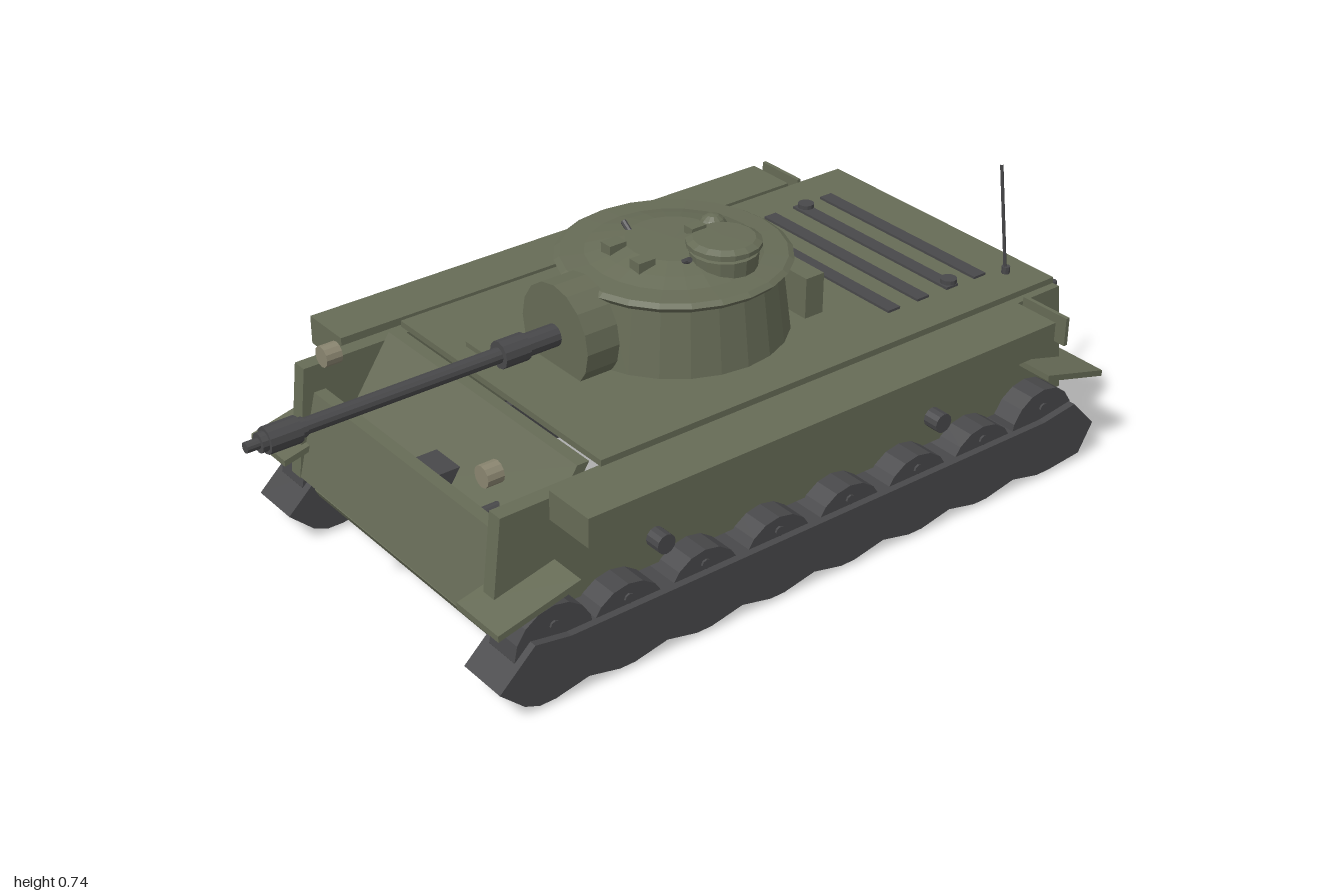
import * as THREE from 'three';

const mat = (color) => new THREE.MeshStandardMaterial({ color, flatShading: true });

export function createModel() {
  const tank = new THREE.Group();
  tank.name = 'tank';
  const olive = mat(0x666b56), dark = mat(0x48484a), lamp = mat(0x8a8570);

  const add = (name, geo, m, x = 0, y = 0, z = 0, parent = tank) => {
    const mesh = new THREE.Mesh(geo, m);
    mesh.name = name;
    mesh.position.set(x, y, z);
    parent.add(mesh);
    return mesh;
  };
  // box given by its limits on each axis
  const block = (name, m, x0, x1, y0, y1, z0, z1, parent = tank) =>
    add(name, new THREE.BoxGeometry(x1 - x0, y1 - y0, z1 - z0), m,
      (x0 + x1) / 2, (y0 + y1) / 2, (z0 + z1) / 2, parent);
  // side outline in (z, y) extruded from x0 to x1
  const profile = (name, m, pts, x0, x1) => {
    const shape = new THREE.Shape(pts.map(([z, y]) => new THREE.Vector2(z, y)));
    const geo = new THREE.ExtrudeGeometry(shape, { depth: x1 - x0, bevelEnabled: false });
    geo.rotateY(-Math.PI / 2);
    return add(name, geo, m, x1);
  };
  // cylinder along an axis
  const rod = (name, m, axis, r, len, x, y, z, seg = 12, r2 = r) => {
    const geo = new THREE.CylinderGeometry(r2, r, len, seg);
    if (axis === 'x') geo.rotateZ(-Math.PI / 2);
    if (axis === 'z') geo.rotateX(Math.PI / 2);
    return add(name, geo, m, x, y, z);
  };

  // Hull shell, open underneath
  block('deck', olive, -0.375, 0.375, 0.445, 0.46, -0.92, 0.395);
  profile('glacis', olive, [[0.41, 0.455], [0.62, 0.11], [0.65, 0.105], [0.66, 0.125], [0.44, 0.455]], -0.355, 0.355);
  profile('frontPlate', olive, [[0.61, 0.37], [0.655, 0.168], [0.69, 0.168], [0.64, 0.37]], -0.355, 0.355);
  profile('rearPlate', olive, [[-0.9, 0.45], [-0.92, 0.45], [-0.957, 0.165], [-0.935, 0.165]], -0.375, 0.375);
  block('visor', dark, -0.045, 0.045, 0.25, 0.33, 0.52, 0.6);
  block('gunMount', dark, 0.2, 0.27, 0.25, 0.31, 0.54, 0.6);
  rod('hullGun', dark, 'z', 0.012, 0.1, 0.195, 0.31, 0.55);

  // Engine grilles, caps and hatch on the deck
  for (const z of [-0.785, -0.697, -0.605, -0.515])
    block('grille', dark, -0.27, 0.27, 0.458, 0.466, z - 0.018, z + 0.018);
  block('deckHatch', olive, -0.188, -0.122, 0.458, 0.472, 0.275, 0.345);

  const trackOutline = () => {
    const pts = [[-0.95, 0.02]];
    // scalloped ground run
    for (let i = 0; i < 8; i++) {
      const z = -0.85 + i * 0.206;
      pts.push([z, 0.01], [z + 0.04, 0.01]);
      if (i < 7) pts.push([z + 0.12, 0.028]);
    }
    pts.push([0.67, 0.025], [0.73, 0.08], [0.64, 0.165], [0.55, 0.15], [-0.82, 0.15], [-0.92, 0.165], [-0.99, 0.09]);
    return pts;
  };

  for (const s of [-1, 1]) {
    // limits mirrored to side s
    const span = (a, b) => (s > 0 ? [a, b] : [-b, -a]);
    profile('hullSide', olive, [[0.66, 0.435], [-0.92, 0.445], [-0.955, 0.165], [0.69, 0.165]].reverse(), ...span(0.357, 0.395));
    block('sponson', olive, ...span(0.395, 0.527), 0.385, 0.455, -0.77, 0.54);
    block('sponsonBracket', olive, ...span(0.395, 0.53), 0.385, 0.455, -0.812, -0.802);
    block('sideBox', olive, ...span(0.39, 0.428), 0.355, 0.405, -0.565, -0.45);
    block('sideBar', dark, ...span(0.39, 0.402), 0.3, 0.314, -0.075, 0.115);
    for (const z of [0.27, -0.53]) rod('returnRoller', dark, 'x', 0.024, 0.06, s * 0.405, 0.235, z);
    // Sloped mudguards
    profile('frontMudguard', olive, [[0.735, 0.22], [0.735, 0.235], [0.53, 0.285], [0.53, 0.27]], ...span(0.34, 0.487));
    profile('rearMudguard', olive, [[-0.81, 0.27], [-0.81, 0.285], [-0.995, 0.235], [-0.995, 0.22]], ...span(0.34, 0.487));
    // Track and wheels
    profile('track', dark, trackOutline(), ...span(0.35, 0.478));
    [0.58, 0.39, 0.185, -0.02, -0.225, -0.43, -0.635, -0.83].forEach((z, i) => {
      const end = i === 0 || i === 7;
      rod('roadWheel', dark, 'x', 0.1, 0.09, s * 0.415, end ? 0.128 : 0.1, z, 16);
      rod('wheelHub', dark, 'x', 0.012, 0.1, s * 0.415, end ? 0.18 : 0.165, z, 8);
    });
    // Paired fittings
    rod('headlight', lamp, 'z', 0.025, 0.04, s * 0.307, 0.482, 0.622, 12);
    rod('deckCap', dark, 'y', 0.02, 0.02, s * 0.25, 0.466, -0.703);
    rod('exhaust', dark, 'x', 0.025, 0.165, s * 0.203, 0.335, -0.972);
    rod('exhaustPipe', dark, 'y', 0.01, 0.1, s * 0.335, 0.37, -0.965, 8);
    block('roofBlock', olive, s * 0.052 - 0.017, s * 0.052 + 0.017, 0.65, 0.678, 0.015, 0.06);
    const vent = rod('periscope', dark, 'x', 0.007, 0.045, s * 0.1, 0.665, -0.04, 8);
    vent.rotation.z = s * 0.6;
  }
  block('rearBox', olive, -0.21, -0.03, 0.22, 0.3, -0.985, -0.94);

  // Turret: tapered wall, overhanging rim, shallow roof
  const turret = [[0.265, 0.455], [0.243, 0.62], [0.258, 0.62], [0.268, 0.632], [0.255, 0.64],
    [0.2, 0.643], [0.16, 0.655], [0.11, 0.667], [0, 0.669]].map(([r, y]) => new THREE.Vector2(r, y));
  add('turret', new THREE.LatheGeometry(turret, 24), olive, 0, 0, -0.09);
  block('stowageBin', olive, -0.188, 0.188, 0.47, 0.57, -0.37, -0.318);
  add('roofDome', new THREE.SphereGeometry(0.035, 12, 8), olive, 0, 0.66, -0.2);

  // Commander's cupola
  const cupola = [[0.075, 0.64], [0.078, 0.68], [0.07, 0.682], [0.07, 0.69], [0.085, 0.692],
    [0.085, 0.702], [0.07, 0.71], [0, 0.711]].map(([r, y]) => new THREE.Vector2(r, y));
  add('cupola', new THREE.LatheGeometry(cupola, 16), olive, 0.125, 0, -0.13);
  block('cupolaHinge', olive, 0.042, 0.07, 0.7, 0.718, -0.125, -0.085);

  // Main gun
  rod('mantlet', olive, 'z', 0.12, 0.085, 0, 0.535, 0.195, 16);
  [['barrelRoot', 0.026, 0.23, 0.33], ['barrelSleeve', 0.032, 0.32, 0.385], ['barrel', 0.018, 0.38, 0.88],
    ['muzzleBrake', 0.03, 0.88, 0.955], ['muzzleCollar', 0.022, 0.865, 0.97], ['muzzleTip', 0.012, 0.96, 1]]
    .forEach(([name, r, z0, z1]) => rod(name, dark, 'z', r, z1 - z0, 0, 0.535, (z0 + z1) / 2));

  // Antenna
  const whip = new THREE.LineCurve3(new THREE.Vector3(0.291, 0.455, -0.848), new THREE.Vector3(0.276, 0.74, -0.822));
  add('antenna', new THREE.TubeGeometry(whip, 1, 0.004, 6), dark);
  rod('antennaBase', dark, 'y', 0.01, 0.025, 0.291, 0.465, -0.848, 8);

  return tank;
}
